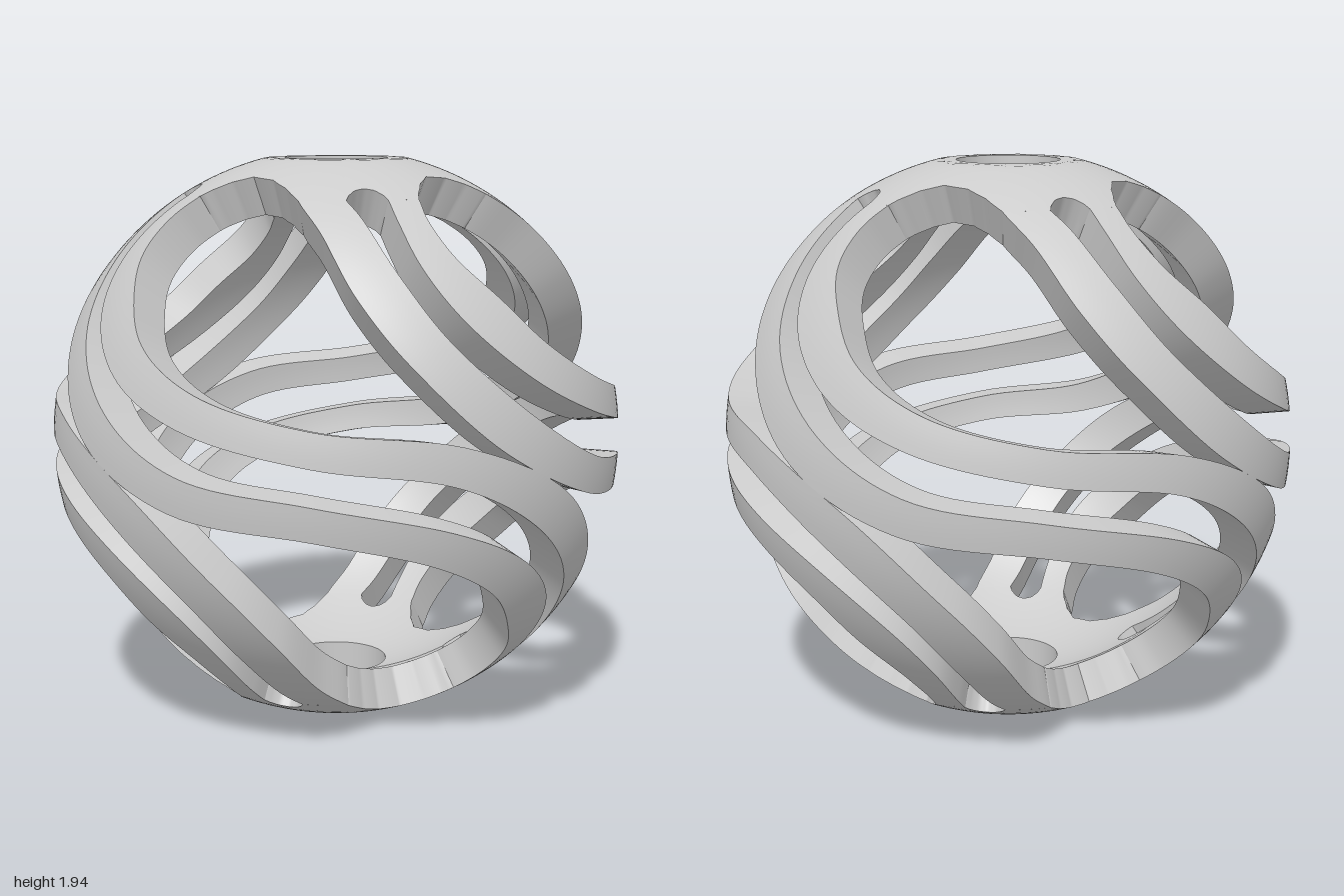
import * as THREE from 'three';
import { mergeGeometries } from 'three/addons/utils/BufferGeometryUtils.js';

const OUTER = 1, INNER = 0.86, FLAT = 0.97, HOLE = 0.18;
const RAD = Math.PI / 180;

// Point on a sphere of radius r; the poles are cut flat
function onSphere([lon, lat], r) {
  const c = Math.cos(lat * RAD) * r;
  const y = THREE.MathUtils.clamp(Math.sin(lat * RAD) * r, -FLAT, FLAT);
  return [c * Math.sin(lon * RAD), y, c * Math.cos(lon * RAD)];
}

// Surface grid; the front side is u x v
function grid(point, nu, nv, flip = false) {
  const pos = [], idx = [];
  for (let i = 0; i <= nu; i++)
    for (let j = 0; j <= nv; j++) pos.push(...point(i / nu, j / nv));
  for (let i = 0; i < nu; i++)
    for (let j = 0; j < nv; j++) {
      const a = i * (nv + 1) + j, b = a + nv + 1;
      if (flip) idx.push(a, b + 1, b, a, a + 1, b + 1);
      else idx.push(a, b, b + 1, a, b + 1, a + 1);
    }
  const g = new THREE.BufferGeometry();
  g.setAttribute('position', new THREE.Float32BufferAttribute(pos, 3));
  g.setIndex(idx);
  g.computeVertexNormals();
  return g;
}

// Thick spherical strip between two edges given as (t, radius) => [lon, lat]
function shell(edge0, edge1, nu, nv) {
  const skin = (r) => (u, v) => {
    const a = edge0(u, r), b = edge1(u, r);
    return onSphere([a[0] + (b[0] - a[0]) * v, a[1] + (b[1] - a[1]) * v], r);
  };
  const wall = (edge) => (u, v) => {
    const p = onSphere(edge(u, INNER), INNER), q = onSphere(edge(u, OUTER), OUTER);
    return p.map((c, i) => c + (q[i] - c) * v);
  };
  return mergeGeometries([
    grid(skin(OUTER), nu, nv),
    grid(skin(INNER), nu, nv, true),
    grid(wall(edge0), nu, 1),
    grid(wall(edge1), nu, 1, true),
  ]);
}

// Band edges from the top plate to the equator, as [longitude, latitude]
const A = [[-9, 58], [0, 49], [9, 34], [19, 21], [37, 4.5], [62, -6.5], [90, -10]];
const B = [[8, 58], [12, 53], [19, 39], [28, 25], [45, 10], [64, 0.5], [90, -3.4]];
const C = [[23, 58], [23, 52], [25, 41], [32, 29], [46, 17], [64, 9], [90, 3.4]];
const D = [[35, 58], [33, 52], [35, 43], [43, 33], [52, 23.5], [67, 15.5], [90, 10]];

// Lower half of an edge is its partner turned half a turn about a level axis
function bandEdge(upper, partner) {
  const lower = partner.slice(0, -1).reverse().map(([lon, lat]) => [180 - lon, -lat]);
  const curve = new THREE.CatmullRomCurve3(
    [...upper, ...lower].map(([lon, lat]) => new THREE.Vector3(lon, lat, 0)));
  return (t) => {
    const p = curve.getPoint(t);
    return [p.x, p.y];
  };
}

// Plate outline over one quarter: [longitude, angle from the pole]
const RIM = [[-38, 24], [-25, 25], [-16, 28], [-9, 32], [8, 32], [9, 30.4], [11.5, 28.7],
  [15.5, 28], [19.5, 28.7], [22, 30.4], [23, 32], [35, 32], [37, 30], [43, 26.5], [52, 24]];

function plateRim(t) {
  const lon = t * 360 - 38;
  const local = ((t * 360) % 90) - 38;
  let i = 0;
  while (i < RIM.length - 2 && RIM[i + 1][0] < local) i++;
  const [l0, r0] = RIM[i], [l1, r1] = RIM[i + 1];
  return [lon, 90 - (r0 + (r1 - r0) * (local - l0) / (l1 - l0))];
}

const plateHole = (t, r) => [t * 360 - 38, 90 - Math.asin(HOLE / r) / RAD];

export function createModel() {
  const model = new THREE.Group();
  const material = new THREE.MeshStandardMaterial({ color: 0xcccccc });
  const body = new THREE.Group();
  body.name = 'openSphere';
  body.position.y = FLAT;
  model.add(body);

  const add = (geometry, name) => {
    const mesh = new THREE.Mesh(geometry, material);
    mesh.name = name;
    body.add(mesh);
    return mesh;
  };

  // Pierced plates at the poles
  const plate = shell(plateRim, plateHole, 360, 10);
  add(plate, 'topPlate');
  add(plate, 'bottomPlate').rotation.x = Math.PI;

  // Four pairs of swirling bands joining the plates
  const outerBand = shell(bandEdge(A, D), bandEdge(B, C), 120, 4);
  const innerBand = shell(bandEdge(C, B), bandEdge(D, A), 120, 4);
  for (let k = 0; k < 4; k++) {
    add(outerBand, 'outerBand' + (k + 1)).rotation.y = k * Math.PI / 2;
    add(innerBand, 'innerBand' + (k + 1)).rotation.y = k * Math.PI / 2;
  }
  return model;
}
